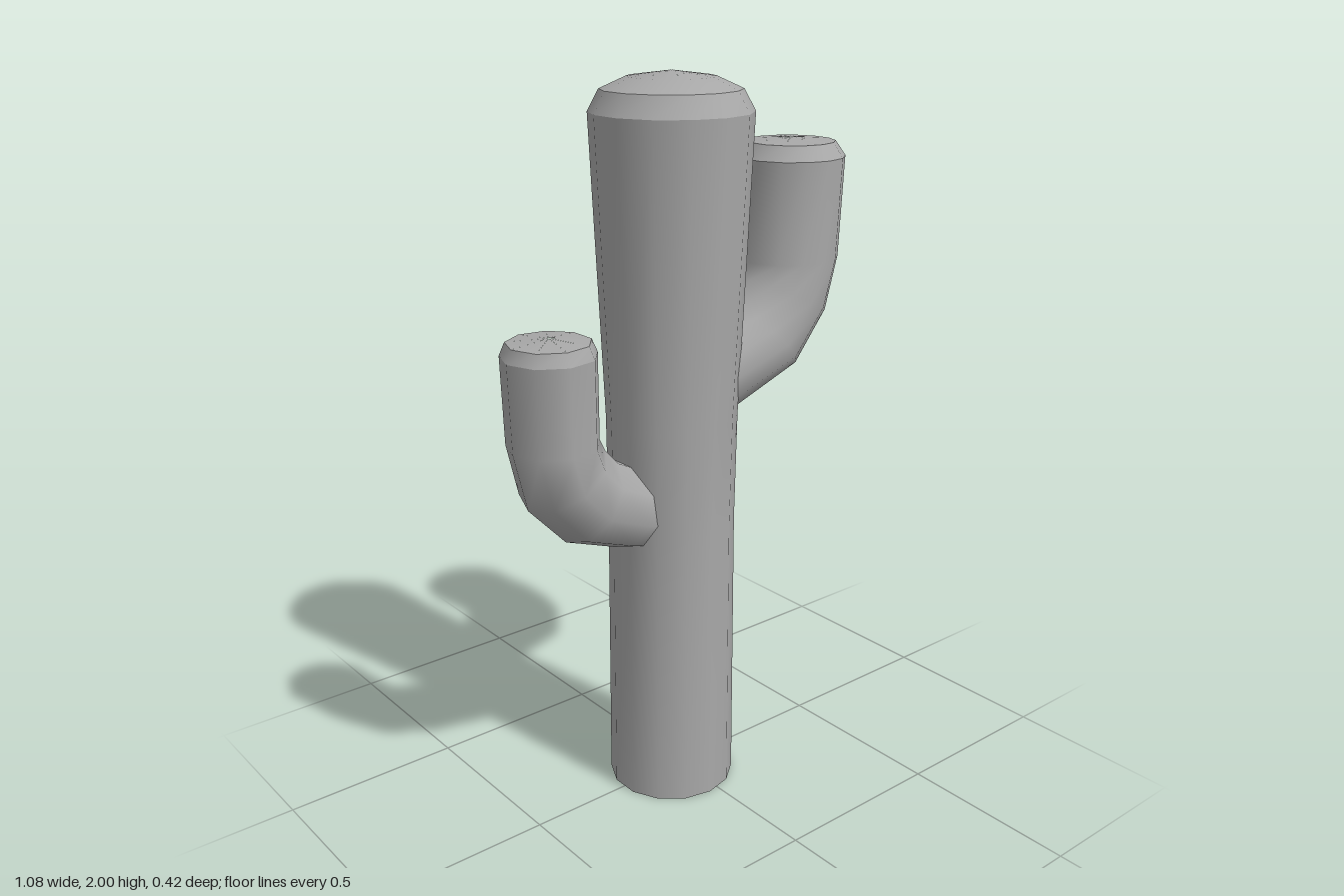
import * as THREE from 'three';
import { mergeGeometries } from 'three/addons/utils/BufferGeometryUtils.js';

// Smooth skin through rings [x, y, radius, tilt]; tilt leans the ring towards +x.
function loft(rings, sides, closeBottom = false) {
  const pos = [], index = [];
  for (const [x, y, r, tilt = 0] of rings) {
    for (let j = 0; j < sides; j++) {
      const a = ((j + 0.5) / sides) * Math.PI * 2;
      const u = r * Math.cos(a);
      pos.push(x + u * Math.cos(tilt), y - u * Math.sin(tilt), r * Math.sin(a));
    }
  }
  for (let i = 0; i < rings.length - 1; i++) {
    for (let j = 0; j < sides; j++) {
      const a = i * sides + j, b = i * sides + ((j + 1) % sides);
      index.push(a, a + sides, b);
      if (rings[i + 1][2] > 0.002) index.push(b, a + sides, b + sides);
    }
  }
  // Flat underside with its own vertices, so the rim stays sharp
  if (closeBottom) {
    const start = pos.length / 3;
    pos.push(...pos.slice(0, sides * 3), rings[0][0], rings[0][1], 0);
    for (let j = 0; j < sides; j++) {
      index.push(start + sides, start + j, start + ((j + 1) % sides));
    }
  }
  const geometry = new THREE.BufferGeometry();
  geometry.setAttribute('position', new THREE.Float32BufferAttribute(pos, 3));
  geometry.setIndex(index);
  geometry.computeVertexNormals();
  return geometry;
}

// A stem: smooth body, sharp-edged bevel and a shallow domed tip
function stem(name, material, sides, body, rim, dome) {
  const geometry = mergeGeometries([
    loft(body, sides, true),
    loft([body[body.length - 1], rim], sides),
    loft([rim, ...dome], sides),
  ]);
  const mesh = new THREE.Mesh(geometry, material);
  mesh.name = name;
  return mesh;
}

export function createModel() {
  const group = new THREE.Group();
  group.name = 'cactus';
  const grey = new THREE.MeshStandardMaterial({ color: 0xa8a8a8 });
  grey.name = 'plain grey';

  // Trunk, slightly waisted and flaring towards the top
  group.add(stem('trunk', grey, 14,
    [[-0.03, 0, 0.178], [-0.028, 0.8, 0.174], [-0.026, 1.1, 0.178], [-0.025, 1.9, 0.212]],
    [-0.025, 1.955, 0.182],
    [[-0.025, 1.985, 0.115], [-0.025, 2, 0.001]]));

  // Upper arm on the model's left
  group.add(stem('leftArm', grey, 14,
    [[0.02, 1.18, 0.13, 1.2], [0.1, 1.21, 0.132, 1.15], [0.27, 1.27, 0.139, 0.75],
      [0.347, 1.38, 0.148, 0.42], [0.384, 1.48, 0.145], [0.392, 1.755, 0.15]],
    [0.392, 1.795, 0.122],
    [[0.392, 1.805, 0.001]]));

  // Lower, thinner arm on the model's right
  group.add(stem('rightArm', grey, 9,
    [[-0.1, 0.84, 0.105, -1.2], [-0.18, 0.87, 0.115, -1.15], [-0.31, 0.925, 0.126, -0.95],
      [-0.385, 1.005, 0.128, -0.53], [-0.412, 1.1, 0.122], [-0.416, 1.335, 0.125]],
    [-0.416, 1.37, 0.11],
    [[-0.416, 1.38, 0.001]]));

  return group;
}
